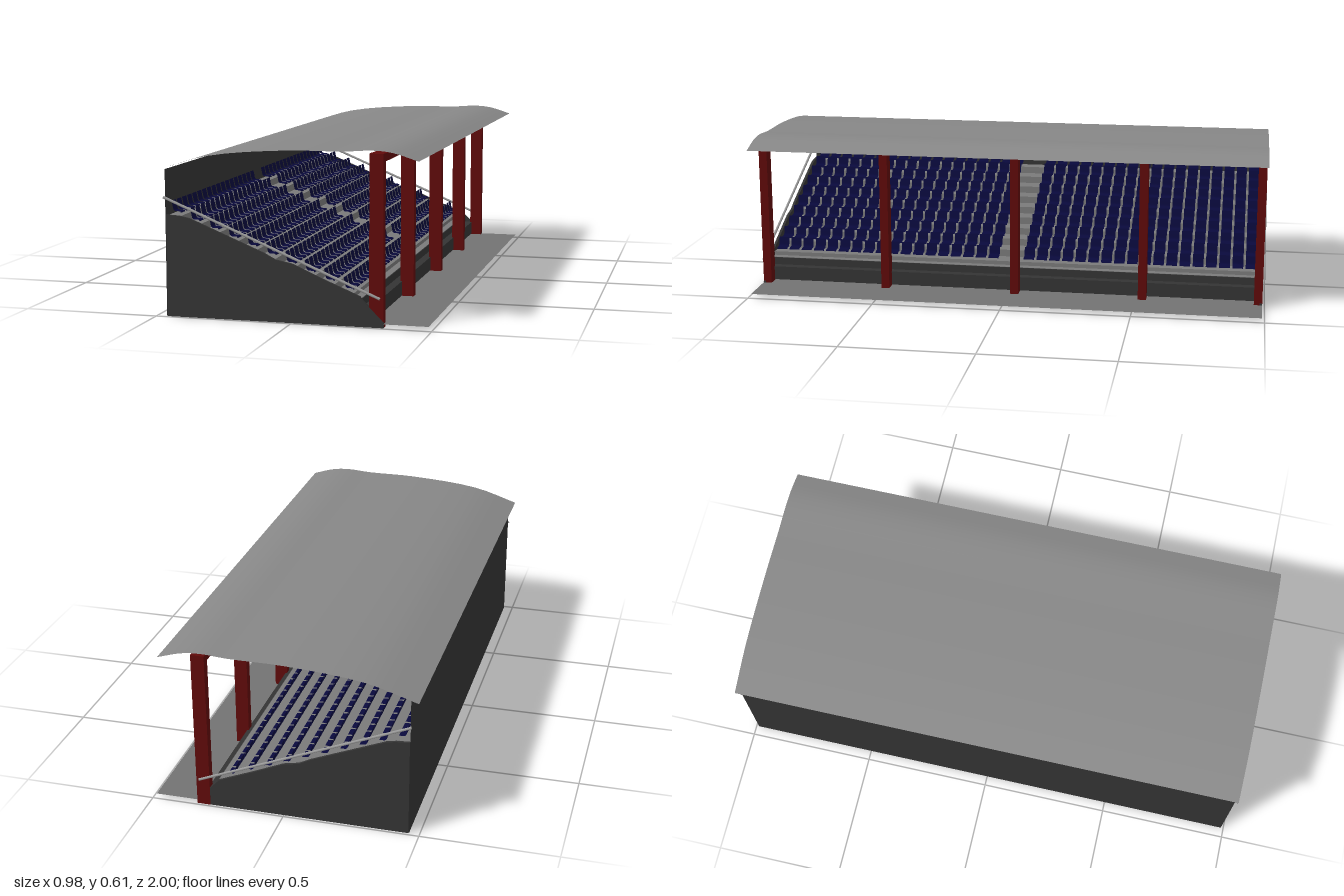
import * as THREE from 'three';
import { mergeGeometries } from 'three/addons/utils/BufferGeometryUtils.js';

const mat = (color, double) => new THREE.MeshStandardMaterial({
  color, side: double ? THREE.DoubleSide : THREE.FrontSide,
});
const roofGrey = mat(0x878787, true), pavingGrey = mat(0x727272, true);
const stepGrey = mat(0x7a7a7a), railGrey = mat(0x999999);
const dark = mat(0x343434), darkSheet = mat(0x343434, true);
const red = mat(0x600a0a), navy = mat(0x09093c, true);

const HALF = 0.985;   // half length of the stand
const TIERS = 10;
const DEPTH = 0.07, RISE = 0.0273;
const FRONT = 0.222, LOW = 0.115, BACK = -0.46;

function box(w, h, d, x, y, z) {
  return new THREE.BoxGeometry(w, h, d).translate(x, y, z);
}

function extrude(points, z0, z1) {
  const shape = new THREE.Shape(points.map(([x, y]) => new THREE.Vector2(x, y)));
  return new THREE.ExtrudeGeometry(shape, { depth: z1 - z0, bevelEnabled: false })
    .translate(0, 0, z0);
}

// Thin sheet following a smooth xy profile, with the given width along z
function profileSheet(points, width, segments) {
  const line = new THREE.CatmullRomCurve3(
    points.map(([x, y]) => new THREE.Vector3(x, y, 0))).getPoints(segments);
  const sheet = new THREE.PlaneGeometry(1, width, segments, 1).rotateX(-Math.PI / 2);
  const p = sheet.attributes.position;
  for (let i = 0; i < p.count; i++) {
    const q = line[Math.round((p.getX(i) + 0.5) * segments)];
    p.setXY(i, q.x, q.y);
  }
  sheet.computeVertexNormals();
  return sheet;
}

export function createModel() {
  const model = new THREE.Group();
  const add = (name, geometry, material) => {
    const mesh = new THREE.Mesh(geometry, material);
    mesh.name = name;
    model.add(mesh);
  };

  // Stepped terrace
  const steps = [[BACK, 0.03], [0.25, 0.03], [0.25, 0.1], [FRONT, 0.1]];
  for (let i = 0; i < TIERS; i++) {
    const y = LOW + i * RISE;
    const x = FRONT - i * DEPTH;
    steps.push([x, y], [i === TIERS - 1 ? BACK : x - DEPTH, y]);
  }
  add('terrace', extrude(steps, -HALF + 0.01, HALF - 0.01), stepGrey);

  // Dark front wall with a low step
  add('frontWall', extrude([
    [0.24, 0.016], [0.285, 0.016], [0.285, 0.07], [0.253, 0.07], [0.253, 0.099], [0.24, 0.099],
  ], -HALF + 0.008, HALF - 0.008), dark);

  // Sloping end panels
  const panel = [
    [BACK, 0], [0.33, 0], [0.33, 0.02], [0.25, 0.1], [0.245, 0.107], [0.12, 0.158],
    [0, 0.21], [-0.06, 0.222], [-0.1, 0.243], [-0.375, 0.355], [-0.41, 0.362], [BACK, 0.365],
  ];
  for (const s of [-1, 1]) {
    add('endPanel', extrude(panel, s * HALF - 0.005, s * HALF + 0.005), dark);
  }

  // Back wall, and paving that runs under the whole stand
  add('backWall', new THREE.PlaneGeometry(2 * HALF + 0.01, 0.527)
    .rotateY(Math.PI / 2).translate(BACK - 0.002, 0.2635, 0), darkSheet);
  add('paving', new THREE.PlaneGeometry(0.948, 2 * HALF + 0.01)
    .rotateX(-Math.PI / 2).translate(0.014, 0.014, 0), pavingGrey);

  // Curved roof sheet
  add('roof', profileSheet([
    [-0.49, 0.523], [-0.305, 0.578], [-0.017, 0.605], [0.19, 0.607],
    [0.29, 0.613], [0.36, 0.607], [0.452, 0.58],
  ], 2 * HALF + 0.02, 24), roofGrey);

  // Columns and the beam they carry
  for (const z of [0.973, 0.488, -0.03, -0.53, -0.975]) {
    add('column', box(0.05, 0.602, 0.032, 0.304, 0.301, z), red);
  }
  add('roofBeam', box(0.049, 0.028, 2 * HALF - 0.01, 0.304, 0.587, 0), red);

  // One seat shell: curved leaning back running into the pan
  const seat = profileSheet([
    [-0.008, 0.037], [-0.004, 0.02], [-0.001, 0.006], [0.005, 0.001],
    [0.024, 0], [0.027, -0.005],
  ], 0.042, 10);

  // Seat rows in two blocks either side of the aisle
  const COUNT = 18;
  for (const [z0, z1] of [[0.046, 0.97], [-0.97, -0.045]]) {
    const seats = [];
    const pitch = (z1 - z0) / COUNT;
    for (let row = 0; row < TIERS; row++) {
      for (let k = 0; k < COUNT; k++) {
        seats.push(seat.clone().translate(
          0.19 - row * DEPTH, 0.129 + row * RISE, z0 + (k + 0.5) * pitch));
      }
    }
    add('seatBlock', mergeGeometries(seats), navy);
  }

  // Sloping handrails at both ends
  for (const s of [-1, 1]) {
    add('handrail', new THREE.TubeGeometry(new THREE.LineCurve3(
      new THREE.Vector3(-0.467, 0.428, s * 0.994),
      new THREE.Vector3(0.318, 0.102, s * 0.994)), 1, 0.005, 8), railGrey);
  }

  return model;
}
